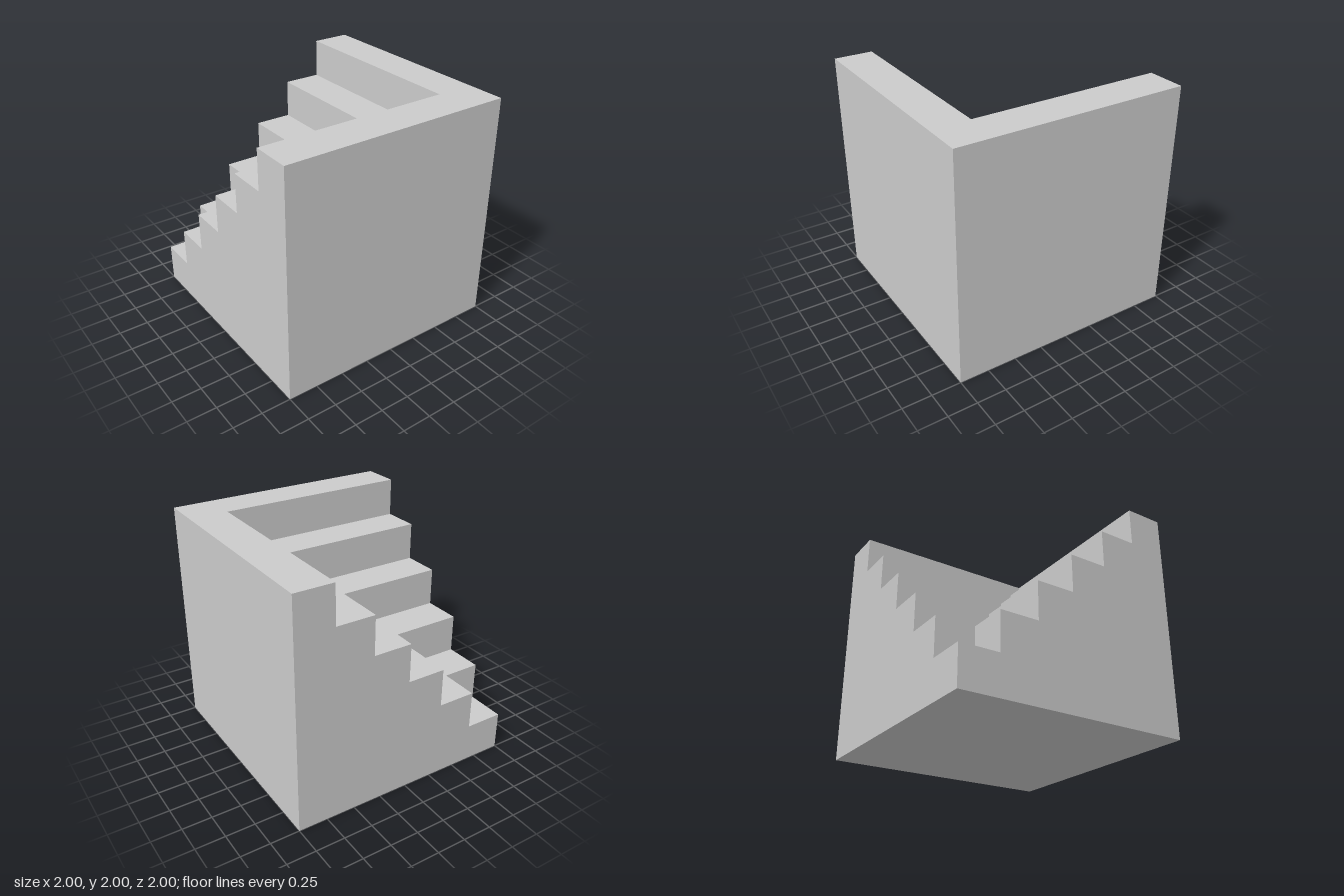
import * as THREE from 'three';

const STEPS = 6;
const S = 2 / STEPS; // rise and run of one step
const at = (k) => -1 + k * S;

export function createModel() {
  const group = new THREE.Group();
  const material = new THREE.MeshStandardMaterial({ color: 0xcccccc, flatShading: true });

  // Flat panel: a 2D outline placed in space by a rule (u, v) -> [x, y, z]
  function panel(name, outline, place) {
    const shape = new THREE.Shape(outline.map(([u, v]) => new THREE.Vector2(u, v)));
    const geometry = new THREE.ShapeGeometry(shape);
    const pos = geometry.attributes.position;
    for (let i = 0; i < pos.count; i++) pos.setXYZ(i, ...place(pos.getX(i), pos.getY(i)));
    geometry.computeVertexNormals();
    const mesh = new THREE.Mesh(geometry, material);
    mesh.name = name;
    group.add(mesh);
  }
  const rect = (u0, v0, u1, v1) => [[u0, v0], [u1, v0], [u1, v1], [u0, v1]];

  // Stepped side walls, mirrored about the corner diagonal
  const profile = [[-1, 0], [1, 0], [1, 2]];
  for (let k = STEPS - 1; k > 0; k--) profile.push([at(k), (k + 1) * S], [at(k), k * S]);
  profile.push([-1, S]);
  panel('frontSteppedWall', profile, (u, v) => [u, v, 1]);
  panel('rightSteppedWall', profile.map(([u, v]) => [-u, v]), (u, v) => [-1, v, u]);

  // Plain outer walls and underside
  panel('backWall', rect(-1, 0, 1, 2), (u, v) => [-u, v, -1]);
  panel('leftWall', rect(-1, 0, 1, 2), (u, v) => [1, v, -u]);
  panel('underside', rect(-1, -1, 1, 1), (u, v) => [u, 0, v]);

  // Corner steps: L-shaped treads, each with a pair of risers behind the one below
  for (let k = 0; k < STEPS; k++) {
    const a = at(k), b = at(k + 1), low = k * S, high = low + S;
    const tread = k === 0
      ? rect(-1, -1, b, b)
      : [[a, -1], [b, -1], [b, b], [-1, b], [-1, a], [a, a]];
    panel(`tread${k + 1}`, tread, (u, v) => [u, high, -v]);
    if (k === 0) continue;
    panel(`frontRiser${k + 1}`, rect(-1, low, a, high), (u, v) => [u, v, -a]);
    panel(`sideRiser${k + 1}`, rect(-a, low, 1, high), (u, v) => [a, v, u]);
  }
  return group;
}
